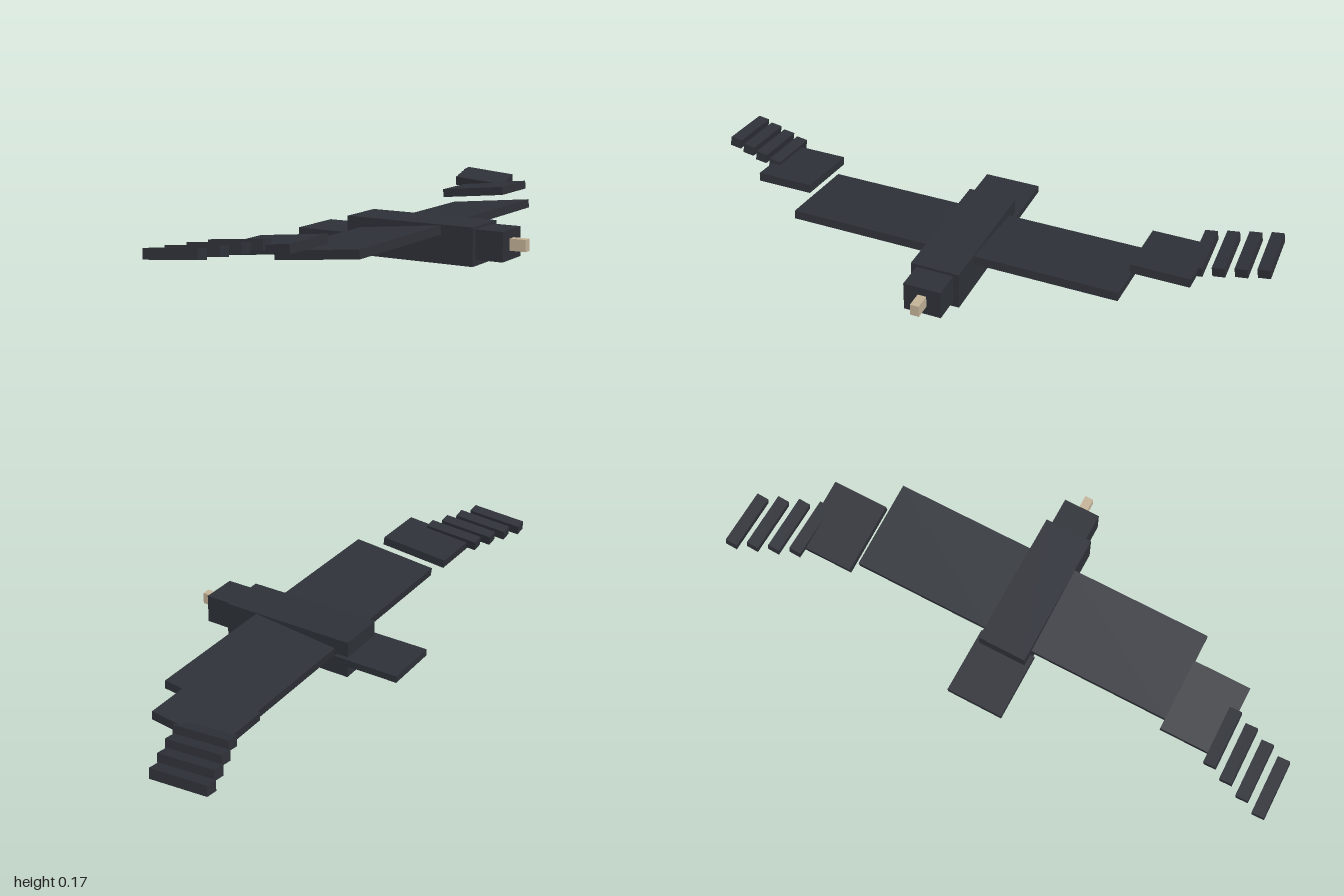
import * as THREE from 'three';

const dark = new THREE.MeshStandardMaterial({ color: 0x2e3138, flatShading: true, side: THREE.DoubleSide });
const tan = new THREE.MeshStandardMaterial({ color: 0xc4b398, flatShading: true, side: THREE.DoubleSide });
const pale = new THREE.MeshStandardMaterial({ color: 0xe6e6e6, flatShading: true, side: THREE.DoubleSide });

// Box shell with an open underside
function shell(name, size, pos, material = dark, rot = [0, 0, 0]) {
  const geo = new THREE.BoxGeometry(...size);
  const index = Array.from(geo.index.array);
  index.splice(18, 6); // drop the -y face
  geo.setIndex(index);
  const mesh = new THREE.Mesh(geo, material);
  mesh.name = name;
  mesh.position.set(...pos);
  mesh.rotation.set(...rot);
  return mesh;
}

export function createModel() {
  const bird = new THREE.Group();
  bird.name = 'bird';

  // Body, head, beak and tail along x
  bird.add(
    shell('body', [0.48, 0.13, 0.17], [0.017, 0.066, 0]),
    shell('head', [0.11, 0.1, 0.13], [0.3, 0.072, 0]),
    shell('beak', [0.066, 0.04, 0.03], [0.379, 0.073, 0], tan),
    shell('tail', [0.233, 0.024, 0.2], [-0.297, 0.065, 0])
  );

  // Pale patch under the chest
  const chest = new THREE.Mesh(new THREE.BoxGeometry(0.1, 0.012, 0.09), pale);
  chest.name = 'chestPatch';
  chest.position.set(0.19, 0.012, 0);
  bird.add(chest);

  // Wings: inner panel, outer panel and four finger feathers per side
  const pitch = 0.105;
  for (const s of [1, -1]) {
    const wing = new THREE.Group();
    wing.name = s > 0 ? 'nearWing' : 'farWing';
    wing.add(
      shell('innerWing', [0.312, 0.03, 0.5], [-0.016, 0.097, s * 0.33], dark, [0, 0, pitch]),
      shell('outerWing', [0.25, 0.03, 0.2], [-0.095, 0.138, s * 0.68], dark, [0, 0, pitch])
    );
    for (let i = 0; i < 4; i++) {
      wing.add(shell('feather', [0.2, 0.034, 0.042],
        [-0.157 - i * 0.025, 0.145, s * (0.772 + i * 0.068)], dark, [-s * 0.15, 0, s * 0.09]));
    }
    bird.add(wing);
  }
  return bird;
}
